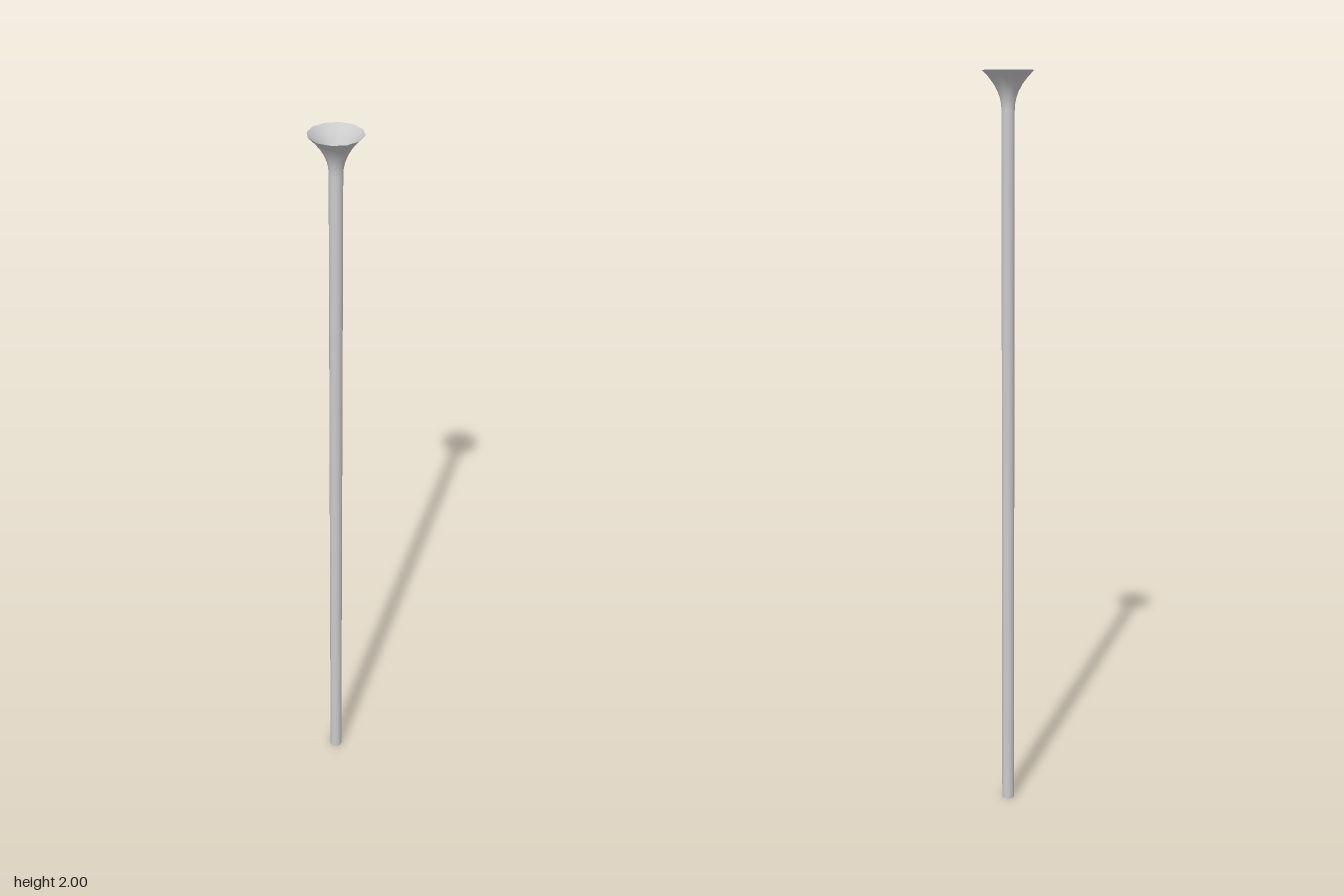
import * as THREE from 'three';

const SIDES = 12;
const TUBE_RADIUS = 0.017;
const RIM_RADIUS = 0.067;
const FLARE_START = 1.9;
const HEIGHT = 2;

export function createModel() {
  const group = new THREE.Group();
  group.name = 'flaredTube';
  const material = new THREE.MeshStandardMaterial({ color: 0xcccccc, side: THREE.DoubleSide });

  // Straight hollow pipe running into a trumpet-shaped mouth, open at both ends
  const profile = [new THREE.Vector2(TUBE_RADIUS, 0)];
  const steps = 6;
  for (let i = 0; i <= steps; i++) {
    const t = i / steps;
    const radius = TUBE_RADIUS + (RIM_RADIUS - TUBE_RADIUS) * Math.pow(t, 2.2);
    profile.push(new THREE.Vector2(radius, FLARE_START + (HEIGHT - FLARE_START) * t));
  }
  const pipe = new THREE.Mesh(new THREE.LatheGeometry(profile, SIDES), material);
  pipe.name = 'pipeWithFlaredMouth';
  group.add(pipe);

  return group;
}
